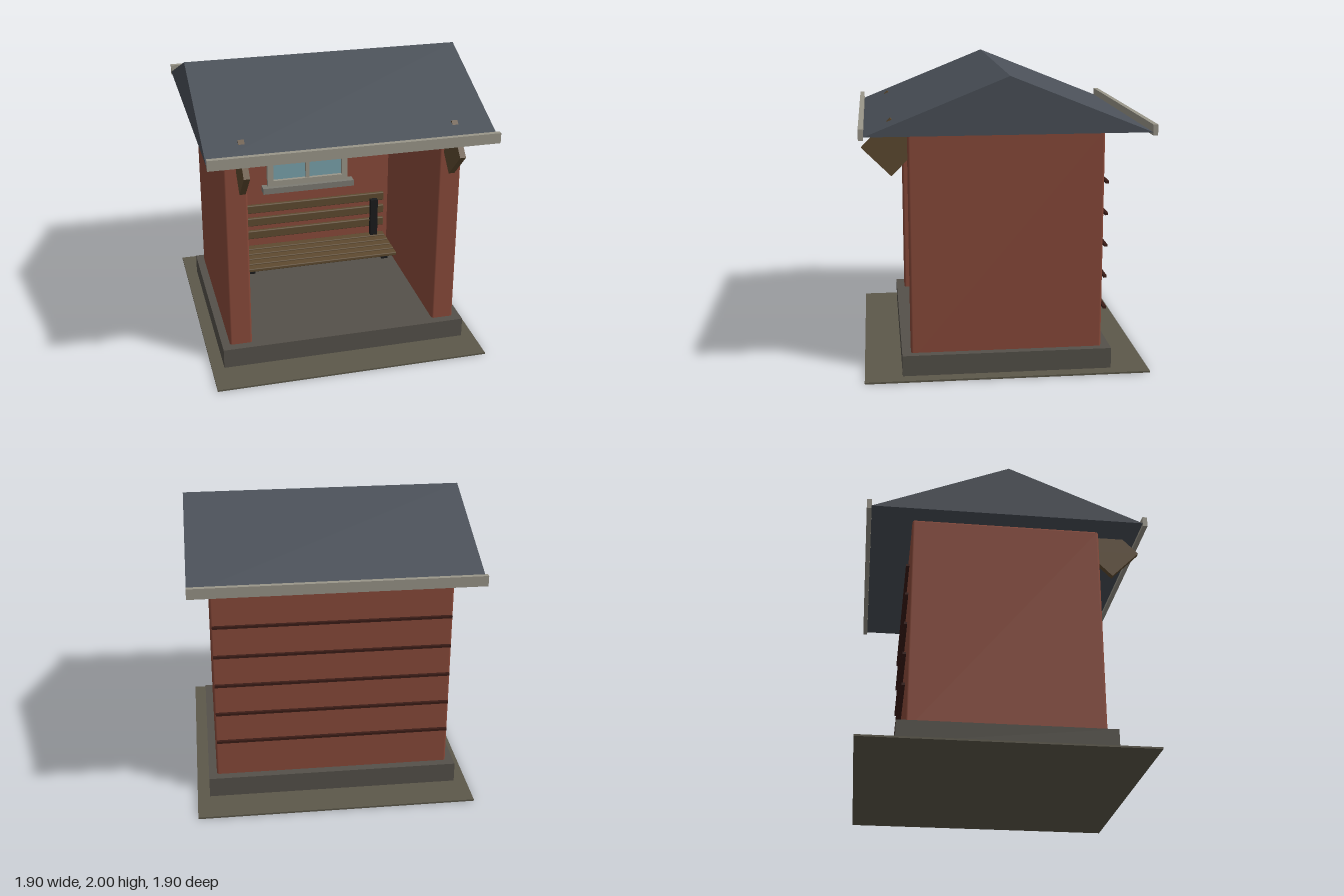
import * as THREE from 'three';
import { RoundedBoxGeometry } from 'three/addons/geometries/RoundedBoxGeometry.js';

const mat = (color) => new THREE.MeshStandardMaterial({ color });
const BRICK = mat(0x8a4a3a), ROOF = mat(0x4a5058), TRIM = mat(0x9a968a), WOOD = mat(0x5e4a30);
const BASE = mat(0x55514a), GROUND = mat(0x5c584a), IRON = mat(0x1a1b1c), GLASS = mat(0x7aa2ac);
const DARK = mat(0x3a1c16), SILL = mat(0x7c7a72);

export function createModel() {
  const model = new THREE.Group();

  const add = (parent, name, geometry, material) => {
    const mesh = new THREE.Mesh(geometry, material);
    mesh.name = name;
    parent.add(mesh);
    return mesh;
  };
  // Box given by its limits on each axis, with an optional bevel
  const box = (parent, name, material, [x0, x1], [y0, y1], [z0, z1], bevel = 0) => {
    const size = [x1 - x0, y1 - y0, z1 - z0];
    const geometry = bevel ? new RoundedBoxGeometry(...size, 1, bevel) : new THREE.BoxGeometry(...size);
    const mesh = add(parent, name, geometry, material);
    mesh.position.set((x0 + x1) / 2, (y0 + y1) / 2, (z0 + z1) / 2);
    return mesh;
  };
  const group = (name) => {
    const g = new THREE.Group();
    g.name = name;
    model.add(g);
    return g;
  };

  // Ground sheet and plinth
  box(model, 'ground', GROUND, [-0.95, 0.95], [0, 0.012], [-0.95, 0.95]);
  box(model, 'plinth', BASE, [-0.865, 0.865], [0.005, 0.152], [-0.7, 0.7]);

  // Three bevelled walls, open at the front
  const walls = group('walls');
  box(walls, 'leftWall', BRICK, [0.655, 0.81], [0.1, 1.63], [-0.64, 0.64], 0.015);
  box(walls, 'rightWall', BRICK, [-0.81, -0.655], [0.1, 1.63], [-0.64, 0.64], 0.015);
  box(walls, 'backWall', BRICK, [-0.8, 0.8], [0.1, 1.62], [-0.64, -0.495], 0.015);

  // Thin battens across the back
  for (let i = 0; i < 5; i++) {
    const y = 0.42 + i * 0.215;
    box(walls, 'backBatten', DARK, [-0.8, 0.8], [y - 0.008, y + 0.008], [-0.672, -0.65]);
  }

  // Gable roof: triangular section swept along x
  const gable = new THREE.Shape([
    new THREE.Vector2(-0.92, 1.63), new THREE.Vector2(0.92, 1.63), new THREE.Vector2(0, 2),
  ]);
  const roofGeometry = new THREE.ExtrudeGeometry(gable, { depth: 1.9, bevelEnabled: false });
  roofGeometry.translate(0, 0, -0.95).rotateY(Math.PI / 2);
  add(model, 'roof', roofGeometry, ROOF);

  // Eaves boards on both sides, diagonal brackets at the front
  for (const s of [-1, 1]) {
    const z = 0.934 * s;
    box(model, 'eavesBoard', TRIM, [-0.95, 0.95], [1.61, 1.68], [z - 0.016, z + 0.016]);
    const bracket = add(model, 'roofBracket', new THREE.BoxGeometry(0.04, 0.268, 0.268), WOOD);
    bracket.position.set(0.705 * s, 1.525, 0.745);
    bracket.rotation.x = Math.PI / 4;
  }

  // Window on the inside of the back wall
  const win = group('window');
  const rect = (target, x, y0, y1) =>
    target.moveTo(-x, y0).lineTo(x, y0).lineTo(x, y1).lineTo(-x, y1).closePath();
  const frame = new THREE.Shape();
  rect(frame, 0.315, 0.8, 1.37);
  const opening = new THREE.Path();
  rect(opening, 0.27, 0.85, 1.325);
  frame.holes.push(opening);
  add(win, 'windowFrame', new THREE.ExtrudeGeometry(frame, { depth: 0.05, bevelEnabled: false }), TRIM)
    .position.z = -0.505;
  box(win, 'glass', GLASS, [-0.272, 0.272], [0.848, 1.327], [-0.505, -0.482]);
  box(win, 'verticalGlazingBar', TRIM, [-0.015, 0.015], [0.85, 1.325], [-0.49, -0.462]);
  box(win, 'horizontalGlazingBar', TRIM, [-0.27, 0.27], [1.073, 1.103], [-0.49, -0.465]);
  box(win, 'windowSill', SILL, [-0.357, 0.357], [0.76, 0.807], [-0.505, -0.42]);

  // Bench: slatted seat and backrest on two iron posts
  const bench = group('bench');
  for (let i = 0; i < 5; i++) {
    const z = -0.095 - i * 0.078;
    box(bench, 'seatSlat', WOOD, [-0.605, 0.605], [0.302, 0.328], [z - 0.033, z + 0.033], 0.006);
  }
  for (let i = 0; i < 3; i++) {
    const y = 0.422 + i * 0.109;
    box(bench, 'backrestSlat', WOOD, [-0.605, 0.605], [y - 0.034, y + 0.034], [-0.455, -0.423], 0.008);
  }
  for (const x of [-0.517, 0.517]) {
    box(bench, 'benchPost', IRON, [x - 0.028, x + 0.028], [0.1, 0.632], [-0.425, -0.385]);
    box(bench, 'seatArm', IRON, [x - 0.024, x + 0.024], [0.272, 0.303], [-0.4, -0.09]);
  }

  return model;
}
